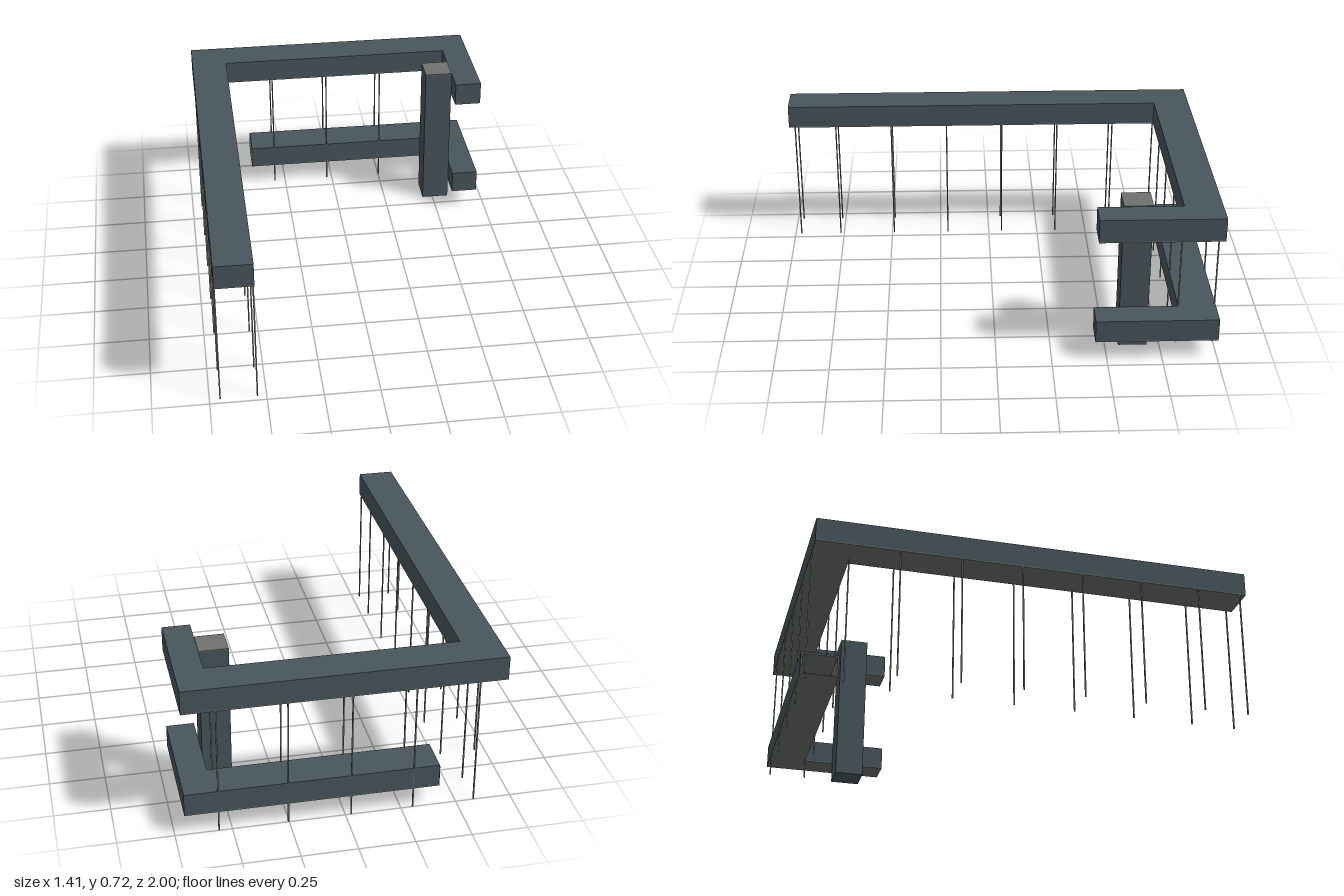
import * as THREE from 'three';

export function createModel() {
  const model = new THREE.Group();
  const steel = new THREE.MeshStandardMaterial({ color: 0x48565c });
  steel.name = 'blue grey cladding';
  const grey = new THREE.MeshStandardMaterial({ color: 0x6e726d });
  grey.name = 'warm grey lining';

  // Extrudes a plan outline of [x, z] points from y0 to y1
  function slab(name, points, y0, y1, material) {
    const shape = new THREE.Shape(points.map(([x, z]) => new THREE.Vector2(x, -z)));
    const geometry = new THREE.ExtrudeGeometry(shape, { depth: y1 - y0, bevelEnabled: false });
    geometry.rotateX(-Math.PI / 2);
    geometry.translate(0, y0, 0);
    const mesh = new THREE.Mesh(geometry, material);
    mesh.name = name;
    model.add(mesh);
  }

  function box(name, x0, x1, y0, y1, z0, z1, material) {
    const mesh = new THREE.Mesh(new THREE.BoxGeometry(x1 - x0, y1 - y0, z1 - z0), material);
    mesh.position.set((x0 + x1) / 2, (y0 + y1) / 2, (z0 + z1) / 2);
    mesh.name = name;
    model.add(mesh);
  }

  // Upper walkway: long arm, back run and short return arm
  const upper = [
    [-0.706, 1], [-0.536, 1], [-0.536, -0.828], [0.58, -0.828],
    [0.58, -0.445], [0.706, -0.445], [0.706, -1], [-0.706, -1],
  ];
  slab('upperWalkway', upper, 0.608, 0.714, steel);
  slab('upperSoffit', upper, 0.603, 0.608, grey);

  // Lower walkway: hollow L, open at its -x end
  const L = (end, inset) => [
    [end, -0.828 - inset], [0.58 + inset, -0.828 - inset], [0.58 + inset, -0.445 - inset],
    [0.706 - inset, -0.445 - inset], [0.706 - inset, -1 + inset], [end, -1 + inset],
  ];
  const ring = (end, a, b) => [...L(end, a), ...L(end, b).reverse()];
  slab('lowerRoof', L(-0.42, 0), 0.198, 0.203, steel);
  slab('lowerCeiling', L(-0.422, 0.005), 0.194, 0.198, grey);
  slab('lowerWalls', ring(-0.42, 0, 0.005), 0.101, 0.198, steel);
  slab('lowerWallLining', ring(-0.423, 0.005, 0.009), 0.101, 0.194, grey);
  slab('lowerFloor', L(-0.423, 0), 0.096, 0.101, grey);

  // Tower with its roof cap
  box('tower', 0.449, 0.58, 0, 0.713, -0.694, -0.562, steel);
  box('towerRoof', 0.449, 0.58, 0.713, 0.718, -0.694, -0.562, grey);

  // Slender posts in pairs under both long runs
  const r = 0.003;
  const post = (x, z) => box('post', x - r, x + r, 0, 0.604, z - r, z + r, grey);
  for (const z of [0.97, 0.767, 0.49, 0.212, -0.066, -0.344, -0.622]) {
    post(-0.703, z);
    post(-0.54, z);
  }
  for (const x of [-0.582, -0.304, -0.026, 0.253, 0.558]) {
    post(x, -0.997);
    post(x, -0.831);
  }
  return model;
}
